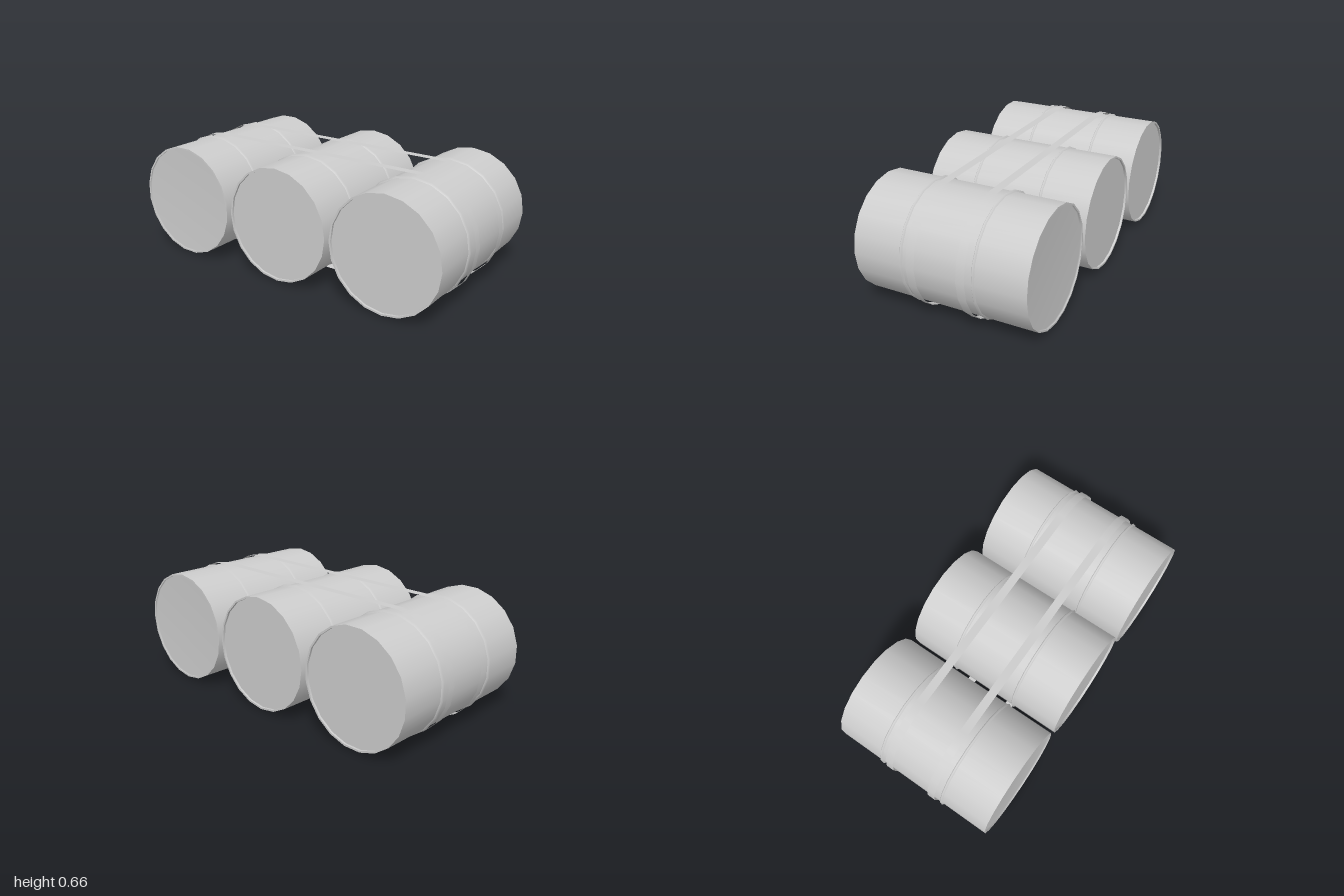
import * as THREE from 'three';

const SIDES = 20, RADIUS = 0.32, RIM = 0.31, HALF = 0.48, INSET = 0.012;
const CENTRE_Y = 0.33;

// Turned surface around the x axis from [radius, x] points
function turned(points, material, name) {
  const geometry = new THREE.LatheGeometry(points.map(([r, x]) => new THREE.Vector2(r, x)), SIDES);
  geometry.rotateZ(-Math.PI / 2);
  const mesh = new THREE.Mesh(geometry, material);
  mesh.name = name;
  return mesh;
}

// Recessed barrel end: flat lids have a crisp edge, dished lids blend into the rim
function barrelEnd(side, dished, material) {
  const end = new THREE.Group();
  end.name = side > 0 ? 'rightEnd' : 'leftEnd';
  const lip = HALF - INSET;
  end.add(turned([[RADIUS, HALF], [RIM, HALF]], material, 'rim'));
  if (dished) {
    end.add(turned([[RIM, HALF], [RIM, lip], [0, lip]], material, 'dishedLid'));
  } else {
    end.add(turned([[RIM, HALF], [RIM, lip]], material, 'rimInside'));
    end.add(turned([[RIM, lip], [0, lip]], material, 'lid'));
  }
  if (side < 0) end.rotation.y = Math.PI;
  return end;
}

function barrel(name, z, spin, dishedRight, dishedLeft, material) {
  const group = new THREE.Group();
  group.name = name;
  group.add(turned([[RADIUS, -HALF], [RADIUS, HALF]], material, 'barrelWall'));
  // Raised rolling hoops
  for (const x of [-0.2, 0.2]) {
    group.add(turned([[RADIUS, x - 0.008], [0.33, x], [RADIUS, x + 0.008]], material, 'hoop'));
  }
  group.add(barrelEnd(1, dishedRight, material), barrelEnd(-1, dishedLeft, material));
  group.position.set(0, CENTRE_Y, z);
  group.rotation.x = spin;
  return group;
}

// Thin ribbon looped round all three barrels
function strap(x, width, material) {
  const r = 0.33, reach = 0.67, steps = 10, loop = [];
  for (const side of [1, -1]) {
    for (let i = 0; i <= steps; i++) {
      const a = (i / steps) * Math.PI;
      loop.push({ y: side * r * Math.cos(a), z: side * (reach + r * Math.sin(a)),
        ny: side * Math.cos(a), nz: side * Math.sin(a) });
    }
  }
  loop.push(loop[0]);
  const position = [], normal = [], index = [];
  loop.forEach((p, i) => {
    for (const s of [-1, 1]) {
      position.push(x + s * width / 2, CENTRE_Y + p.y, p.z);
      normal.push(0, p.ny, p.nz);
    }
    if (i) {
      const a = 2 * i - 2;
      index.push(a, a + 2, a + 1, a + 1, a + 2, a + 3);
    }
  });
  const geometry = new THREE.BufferGeometry();
  geometry.setAttribute('position', new THREE.Float32BufferAttribute(position, 3));
  geometry.setAttribute('normal', new THREE.Float32BufferAttribute(normal, 3));
  geometry.setIndex(index);
  const mesh = new THREE.Mesh(geometry, material);
  mesh.name = 'strap';
  return mesh;
}

export function createModel() {
  const grey = new THREE.MeshStandardMaterial({ color: 0xcccccc, side: THREE.DoubleSide });
  grey.name = 'lightGrey';
  const model = new THREE.Group();
  model.name = 'strappedBarrels';
  model.add(
    barrel('frontBarrel', 0.663, 0, true, false, grey),
    barrel('middleBarrel', -0.003, 0, false, false, grey),
    barrel('backBarrel', -0.67, Math.PI / SIDES, false, true, grey),
  );
  for (const x of [-0.137, 0.141]) model.add(strap(x, 0.047, grey));
  return model;
}
